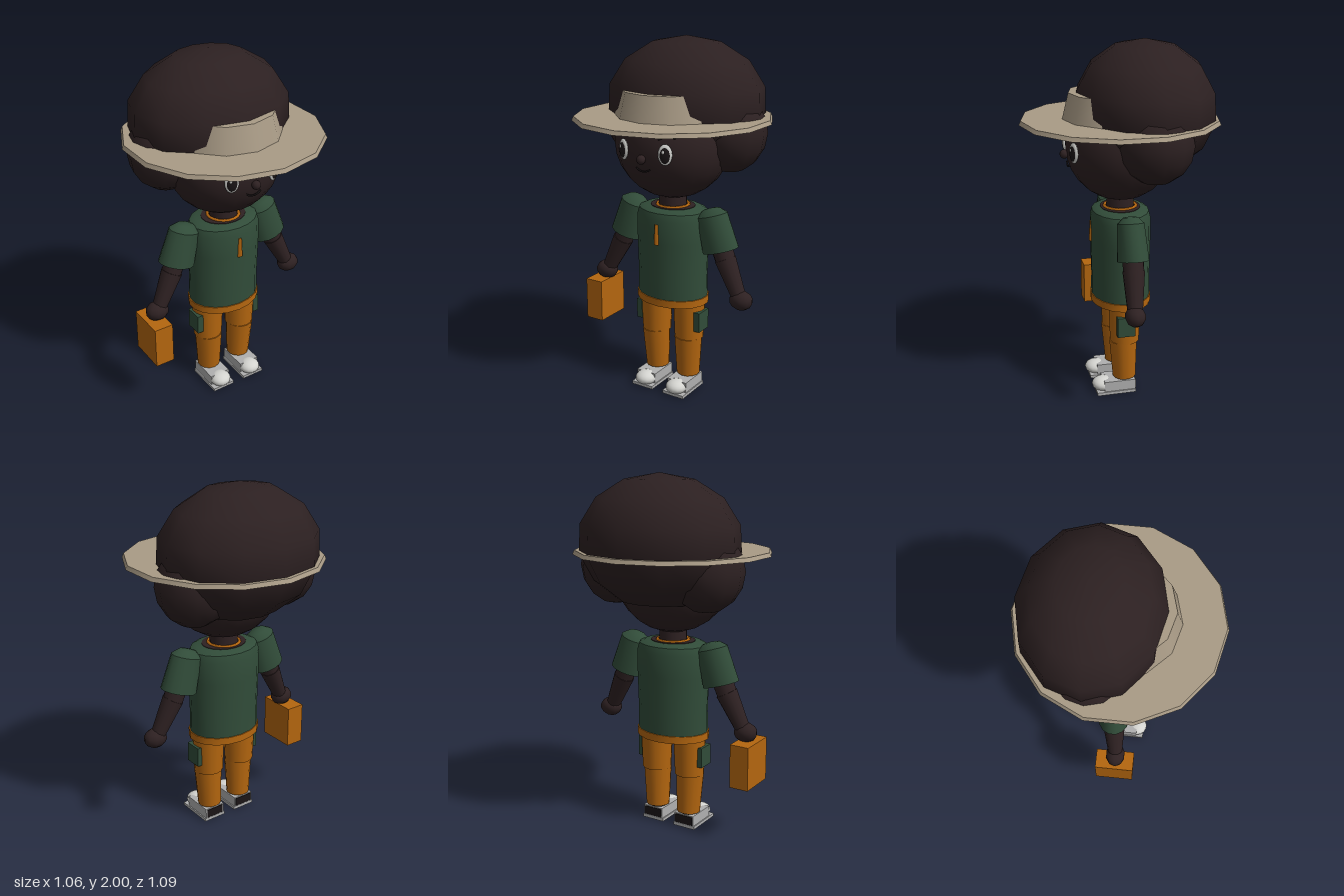
import * as THREE from 'three';
import { toCreasedNormals } from 'three/addons/utils/BufferGeometryUtils.js';

const mat = (name, color, side = THREE.FrontSide) => {
  const m = new THREE.MeshStandardMaterial({ color, side });
  m.name = name;
  return m;
};

export function createModel() {
  const skin = mat('skin brown', 0x2e2122);
  const hair = mat('hair brown', 0x2c2021, THREE.DoubleSide);
  const straw = mat('straw beige', 0xa99b86);
  const green = mat('shirt green', 0x314c39);
  const orange = mat('trouser orange', 0xb4660f);
  const white = mat('white', 0xd4d4d0);
  const grey = mat('shoe grey', 0xb0b0b0);
  const dark = mat('dark', 0x1a1516);

  const model = new THREE.Group();
  model.name = 'child with hat';
  const add = (name, geo, material, pos = [0, 0, 0], scale = [1, 1, 1], parent = model) => {
    const mesh = new THREE.Mesh(geo, material);
    mesh.name = name;
    mesh.position.set(...pos);
    mesh.scale.set(...scale);
    parent.add(mesh);
    return mesh;
  };
  const lathe = (pts, sides) => toCreasedNormals(
    new THREE.LatheGeometry(pts.map(p => new THREE.Vector2(...p)), sides), 0.6);
  const up = new THREE.Vector3(0, 1, 0);
  // Tapered cylinder running from point a to point b
  const limb = (name, a, b, ra, rb, material, parent = model) => {
    const A = new THREE.Vector3(...a), B = new THREE.Vector3(...b);
    const d = B.clone().sub(A);
    const mesh = add(name, new THREE.CylinderGeometry(rb, ra, d.length(), 14), material, [0, 0, 0], [1, 1, 1], parent);
    mesh.position.copy(A).add(B).multiplyScalar(0.5);
    mesh.quaternion.setFromUnitVectors(up, d.normalize());
    return mesh;
  };

  // Head
  add('head', new THREE.SphereGeometry(1, 20, 14), skin, [0, 1.445, 0], [0.325, 0.31, 0.3]);
  add('neck', new THREE.CylinderGeometry(0.075, 0.08, 0.16, 14), skin, [0, 1.12, 0]);
  add('nose', new THREE.SphereGeometry(0.025, 10, 8), skin, [0, 1.4, 0.307]);
  const smile = new THREE.QuadraticBezierCurve3(
    new THREE.Vector3(-0.045, 1.348, 0.284), new THREE.Vector3(0, 1.318, 0.292), new THREE.Vector3(0.045, 1.348, 0.284));
  add('mouth', new THREE.TubeGeometry(smile, 8, 0.005, 6), dark);

  // Eyes, as thin stacked discs leaning with the face
  for (const s of [1, -1]) {
    const eye = new THREE.Group();
    eye.name = s > 0 ? 'leftEye' : 'rightEye';
    eye.position.set(s * 0.13, 1.435, 0.277);
    eye.rotation.y = s * 0.38;
    model.add(eye);
    const ball = new THREE.SphereGeometry(1, 16, 10);
    add('eyeWhite', ball, white, [0, 0, 0], [0.038, 0.056, 0.014], eye);
    add('iris', ball, dark, [0, -0.002, 0.005], [0.029, 0.044, 0.013], eye);
    add('glint', ball, white, [-0.008, 0.016, 0.016], [0.007, 0.01, 0.004], eye);
    const brow = new THREE.QuadraticBezierCurve3(
      new THREE.Vector3(s * 0.09, 1.512, 0.28), new THREE.Vector3(s * 0.13, 1.534, 0.266), new THREE.Vector3(s * 0.175, 1.52, 0.245));
    add('eyebrow', new THREE.TubeGeometry(brow, 6, 0.007, 6), dark);
  }

  // Hair: large cap left open underneath, with a round lobe on each side
  add('hairCap', new THREE.SphereGeometry(1, 12, 6, 0, Math.PI * 2, 0, Math.PI * 5 / 6), hair,
    [0, 1.64, -0.135], [0.46, 0.36, 0.385]);
  for (const s of [1, -1])
    add('hairLobe', new THREE.SphereGeometry(1, 12, 8), hair, [s * 0.285, 1.5, -0.125], [0.2, 0.215, 0.205]);

  // Hat
  add('hatBrim', toCreasedNormals(new THREE.CylinderGeometry(0.535, 0.545, 0.022, 14), 0.6), straw, [0, 1.579, 0]);
  add('hatCrown', new THREE.CylinderGeometry(0.28, 0.315, 0.14, 12), straw, [0, 1.658, 0]);

  // Torso
  add('shirt', lathe([[0, 0.56], [0.21, 0.56], [0.207, 0.68], [0.213, 0.9], [0.213, 1.03], [0.2, 1.07], [0.165, 1.086], [0, 1.086]], 18),
    green, [0, 0, 0], [1, 1, 0.785]);
  add('neckline', new THREE.CylinderGeometry(0.13, 0.13, 0.006, 18), skin, [0, 1.086, 0], [1, 1, 0.85]);
  const collar = add('collar', new THREE.TorusGeometry(0.088, 0.009, 6, 18), orange, [0, 1.09, 0]);
  collar.rotation.x = Math.PI / 2;
  add('belt', toCreasedNormals(new THREE.CylinderGeometry(0.216, 0.216, 0.042, 18), 0.6), orange, [0, 0.555, 0], [1, 1, 0.785]);
  const tab = new THREE.CylinderGeometry(0.012, 0.018, 0.115, 4, 1, false, Math.PI / 4);
  add('shirtTab', tab.toNonIndexed(), orange, [0, 0.953, 0.163]);

  const sleeveShape = lathe([[0, 0], [0.107, 0], [0.09, 0.2], [0.05, 0.232], [0, 0.238]], 14);
  for (const s of [1, -1]) {
    const side = s > 0 ? 'left' : 'right';

    // Arm
    const sleeve = add(side + 'Sleeve', sleeveShape, green, [s * 0.308, 0.875, 0], [1, 1, 0.8]);
    sleeve.rotation.z = s * 0.285;
    limb(side + 'UpperArm', [s * 0.28, 0.98, 0], [s * 0.343, 0.825, 0.005], 0.06, 0.056, skin);
    limb(side + 'Forearm', [s * 0.341, 0.83, 0.005], [s * 0.44, 0.63, 0.02], 0.06, 0.04, skin);
    add(side + 'Hand', new THREE.SphereGeometry(1, 10, 7), skin, [s * 0.452, 0.62, 0.022], [0.068, 0.055, 0.056]);

    // Leg
    limb(side + 'Thigh', [s * 0.11, 0.32, 0], [s * 0.11, 0.55, 0], 0.083, 0.092, orange);
    limb(side + 'Shin', [s * 0.105, 0.09, 0.0], [s * 0.11, 0.325, 0.008], 0.067, 0.08, orange);
    add(side + 'Pocket', new THREE.BoxGeometry(0.036, 0.115, 0.1), green, [s * 0.194, 0.438, 0.01]);
    add(side + 'Ankle', new THREE.CylinderGeometry(0.05, 0.05, 0.04, 12), dark, [s * 0.105, 0.085, 0]);

    // Shoe
    add(side + 'ShoeUpper', new THREE.BoxGeometry(0.125, 0.062, 0.18), grey, [s * 0.105, 0.05, 0.037]);
    add(side + 'Toe', new THREE.SphereGeometry(1, 14, 10), white, [s * 0.105, 0.048, 0.128], [0.062, 0.04, 0.062]);
    add(side + 'Sole', new THREE.BoxGeometry(0.138, 0.018, 0.225), grey, [s * 0.105, 0.012, 0.058]);
    add(side + 'Tread', new THREE.BoxGeometry(0.118, 0.004, 0.2), dark, [s * 0.105, 0.002, 0.058]);
    add(side + 'Heel', new THREE.BoxGeometry(0.11, 0.05, 0.008), dark, [s * 0.105, 0.05, -0.053]);
  }

  // Case carried in the right hand
  add('case', new THREE.BoxGeometry(0.11, 0.245, 0.22), orange, [-0.473, 0.453, 0.02]);

  return model;
}
